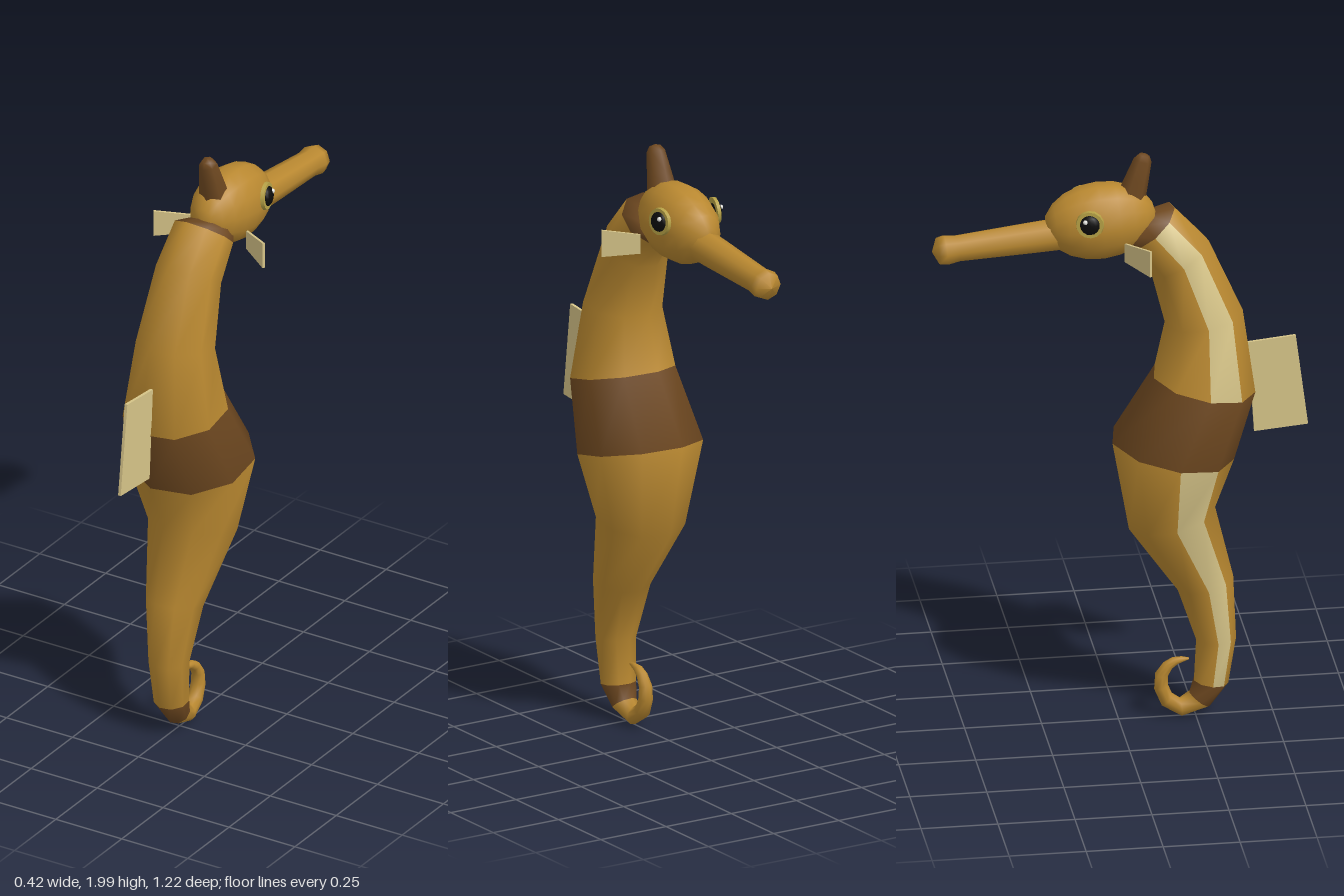
import * as THREE from 'three';

const mat = (name, color, side = THREE.FrontSide) => {
  const m = new THREE.MeshStandardMaterial({ color, side });
  m.name = name;
  return m;
};

// Ring sections from tail tip to nape: [back z, back y, front z, front y]
const RINGS = [
  [0.228, 0.212, 0.23, 0.206],
  [0.205, 0.217, 0.213, 0.2],
  [0.175, 0.215, 0.192, 0.192],
  [0.145, 0.198, 0.174, 0.178],
  [0.118, 0.16, 0.16, 0.153],
  [0.115, 0.11, 0.16, 0.122],
  [0.14, 0.05, 0.174, 0.09],
  [0.205, 0.01, 0.2, 0.07],
  [0.295, 0.04, 0.23, 0.09],
  [0.355, 0.12, 0.243, 0.135],
  [0.38, 0.28, 0.25, 0.28],
  [0.37, 0.5, 0.19, 0.46],
  [0.31, 0.75, 0.03, 0.69],
  [0.37, 0.92, -0.025, 1.0],
  [0.44, 1.15, 0.11, 1.22],
  [0.4, 1.44, 0.15, 1.4],
  [0.29, 1.69, 0.105, 1.58],
  [0.18, 1.81, 0.03, 1.68],
  [0.09, 1.79, 0.0, 1.69],
];
const SIDES = 9;
const BROWN_SPANS = [8, 13, 17]; // tail band, belly band, nape
const STRIPE_FROM = 9;

function bodyGeometry() {
  const pos = [];
  for (const [bz, by, fz, fy] of RINGS) {
    const cz = (bz + fz) / 2, cy = (by + fy) / 2;
    const hz = (bz - fz) / 2, hy = (by - fy) / 2, r = Math.hypot(hz, hy);
    for (let k = 0; k < SIDES; k++) {
      const a = (k / SIDES) * Math.PI * 2;
      const s = Math.sin(a) / 0.985;
      pos.push(-Math.cos(a) * r * 1.03, cy + s * hy, cz + s * hz);
    }
  }
  // Faces sorted by material: 0 main, 1 band, 2 stripe
  const faces = [[], [], []];
  for (let i = 0; i < RINGS.length - 1; i++) {
    for (let k = 0; k < SIDES; k++) {
      const a = i * SIDES + k, b = i * SIDES + (k + 1) % SIDES;
      const m = BROWN_SPANS.includes(i) ? 1 : k === 0 && i >= STRIPE_FROM ? 2 : 0;
      faces[m].push(a, b, b + SIDES, a, b + SIDES, a + SIDES);
    }
  }
  const g = new THREE.BufferGeometry();
  g.setAttribute('position', new THREE.Float32BufferAttribute(pos, 3));
  g.setIndex(faces.flat());
  let start = 0;
  faces.forEach((f, m) => { g.addGroup(start, f.length, m); start += f.length; });
  g.computeVertexNormals();
  return g;
}

// Thin plate from [u, v] corners, centred on its thickness
function plate(corners, thickness) {
  const shape = new THREE.Shape(corners.map(([u, v]) => new THREE.Vector2(u, v)));
  return new THREE.ExtrudeGeometry(shape, { depth: thickness, bevelEnabled: false })
    .translate(0, 0, -thickness / 2);
}

export function createModel() {
  const model = new THREE.Group();
  const tan = mat('golden tan', 0xb98830);
  const brown = mat('band brown', 0x6e4820);
  const cream = mat('cream', 0xd6c488, THREE.DoubleSide);
  const gold = mat('eye gold', 0xb5a045);
  const black = mat('pupil black', 0x0c0c0c);
  const white = mat('glint white', 0xf5f5f0);

  const add = (name, geometry, material, parent = model) => {
    const mesh = new THREE.Mesh(geometry, material);
    mesh.name = name;
    parent.add(mesh);
    return mesh;
  };
  const up = new THREE.Vector3(0, 1, 0);

  add('body', bodyGeometry(), [tan, brown, cream]);

  // Head
  const head = add('head', new THREE.SphereGeometry(1, 14, 10).rotateX(Math.PI / 2), tan);
  head.scale.set(0.106, 0.13, 0.182);
  head.position.set(0, 1.776, -0.06);
  head.rotation.x = -0.08;

  // Snout with a slightly swollen tip
  const snoutProfile = [[0.056, 0], [0.053, 0.12], [0.045, 0.36], [0.051, 0.4], [0.046, 0.425], [0, 0.445]]
    .map(([r, y]) => new THREE.Vector2(r, y));
  const snout = add('snout', new THREE.LatheGeometry(snoutProfile, 8), tan);
  snout.position.set(0, 1.739, -0.163);
  snout.quaternion.setFromUnitVectors(up, new THREE.Vector3(0, -0.09, -1).normalize());

  // Crest leaning backwards
  const crestProfile = [[0.048, 0], [0.04, 0.06], [0.03, 0.13], [0.018, 0.148], [0, 0.152]]
    .map(([r, y]) => new THREE.Vector2(r, y));
  const crest = add('crest', new THREE.LatheGeometry(crestProfile, 6), brown);
  crest.position.set(0, 1.855, 0.042);
  crest.quaternion.setFromUnitVectors(up, new THREE.Vector3(0, 0.96, 0.28).normalize());

  // Dorsal fin, drawn in (-z, y) and turned into the middle plane
  const dorsal = plate([[-0.575, 1.33], [-0.615, 1.015], [-0.44, 1.0], [-0.42, 1.315]], 0.01);
  add('dorsalFin', dorsal.rotateY(Math.PI / 2), cream);

  for (const s of [1, -1]) {
    const side = s > 0 ? 'left' : 'right';

    // Eye: disc, domed pupil and glint
    const eye = new THREE.Group();
    eye.name = side + 'Eye';
    eye.position.set(s * 0.106, 1.81, -0.108);
    eye.quaternion.setFromUnitVectors(new THREE.Vector3(0, 0, 1), new THREE.Vector3(s, 0.08, -0.22).normalize());
    model.add(eye);
    add('eyeRing', new THREE.CylinderGeometry(0.044, 0.046, 0.012, 14).rotateX(Math.PI / 2), gold, eye);
    const pupil = add('pupil', new THREE.SphereGeometry(0.033, 14, 8), black, eye);
    pupil.scale.z = 0.5;
    pupil.position.z = 0.004;
    const glint = add('glint', new THREE.SphereGeometry(0.008, 8, 6), white, eye);
    glint.position.set(s * 0.012, 0.014, 0.016);

    // Side fin, widening outwards and swept back
    const fin = add(side + 'Fin', plate([[0, -0.034], [0.125, -0.045], [0.125, 0.045], [0, 0.03]], 0.008), cream);
    fin.position.set(s * 0.104, 1.705, 0.008);
    fin.rotation.y = s > 0 ? -0.57 : Math.PI + 0.57;
  }
  return model;
}
